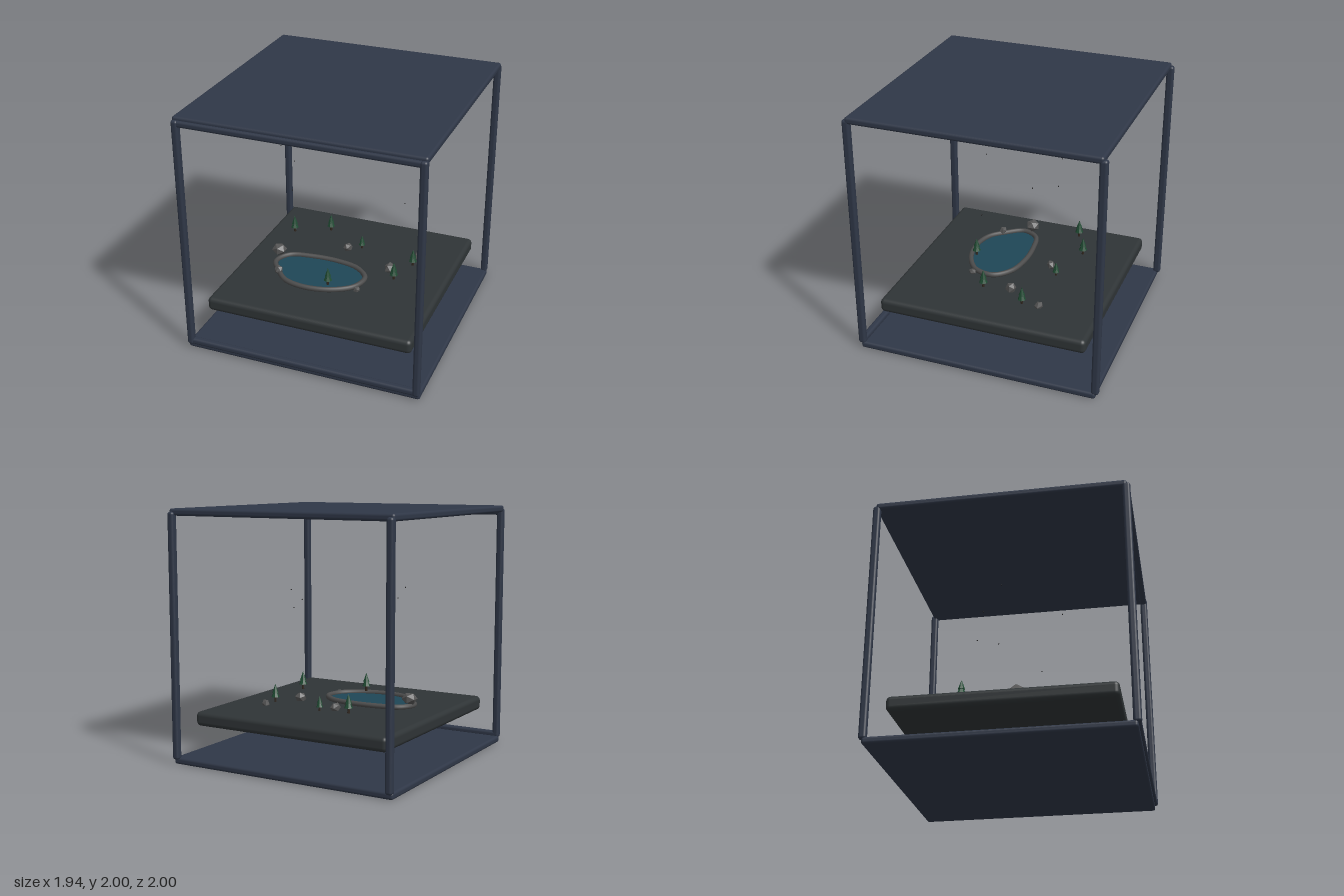
import * as THREE from 'three';
import { RoundedBoxGeometry } from 'three/addons/geometries/RoundedBoxGeometry.js';

const mat = (color, flatShading = false) => new THREE.MeshStandardMaterial({ color, flatShading });

export function createModel() {
  const model = new THREE.Group();
  const frameMat = mat(0x2f3747);
  const groundMat = mat(0x2f3436);
  const rimMat = mat(0x4c4c4c);
  const rockMat = mat(0x555555, true);
  const waterMat = mat(0x1f4656);
  const trunkMat = mat(0x30261e, true);
  const leafMat = mat(0x1f4a32, true);
  const moteMat = mat(0x1c1c1c);

  const add = (parent, name, geometry, material, x = 0, y = 0, z = 0) => {
    const mesh = new THREE.Mesh(geometry, material);
    mesh.name = name;
    mesh.position.set(x, y, z);
    parent.add(mesh);
    return mesh;
  };
  const box = (name, w, h, d, r, material, x, y, z) =>
    add(model, name, new RoundedBoxGeometry(w, h, d, 4, r), material, x, y, z);

  // Case: two plates, four corner posts and two front rails
  box('basePlate', 1.94, 0.055, 1.95, 0.02, frameMat, 0, 0.0275, 0);
  box('topPlate', 1.94, 0.055, 1.95, 0.02, frameMat, 0, 1.9725, 0);
  for (const x of [-0.943, 0.943])
    for (const z of [-0.97, 0.97])
      box('cornerPost', 0.055, 1.935, 0.06, 0.02, frameMat, x, 1.008, z);
  box('frontRailBottom', 1.94, 0.052, 0.055, 0.02, frameMat, 0, 0.066, 0.967);
  box('frontRailTop', 1.94, 0.052, 0.055, 0.02, frameMat, 0, 1.948, 0.967);

  // Floating slab of ground
  box('ground', 1.7, 0.115, 1.7, 0.035, groundMat, 0, 0.352, 0);

  // Pond: a closed outline shared by the stone rim and the water
  const outline = [
    [0.22, 0.14], [0.185, 0.295], [0.02, 0.41], [-0.2, 0.445], [-0.37, 0.4], [-0.47, 0.3],
    [-0.565, 0.15], [-0.5, 0.02], [-0.32, -0.025], [-0.09, -0.03], [0.11, 0.02],
  ];
  const curve = new THREE.CatmullRomCurve3(
    outline.map(([x, z]) => new THREE.Vector3(x, 0, z)), true);
  add(model, 'pondRim', new THREE.TubeGeometry(curve, 96, 0.021, 10, true), rimMat, 0, 0.429, 0);
  const pond = new THREE.Shape(curve.getPoints(80).map((p) => new THREE.Vector2(p.x, -p.z)));
  const water = add(model, 'water', new THREE.ShapeGeometry(pond), waterMat, 0, 0.422, 0);
  water.rotation.x = -Math.PI / 2;

  // Pine trees: x, base y, z, height
  const trees = [
    [-0.61, 0.45, -0.34, 0.152], [-0.32, 0.455, -0.465, 0.15], [-0.01, 0.45, 0.37, 0.152],
    [0.46, 0.462, 0.12, 0.152], [0.51, 0.41, -0.225, 0.148], [0.015, 0.41, -0.34, 0.122],
  ];
  trees.forEach(([x, y, z, h], i) => {
    const tree = new THREE.Group();
    tree.name = 'pineTree';
    add(tree, 'trunk', new THREE.CylinderGeometry(0.05, 0.07, 0.4, 6), trunkMat, 0, 0.2, 0);
    add(tree, 'lowerFoliage', new THREE.ConeGeometry(0.225, 0.5, 7), leafMat, 0, 0.52, 0);
    add(tree, 'upperFoliage', new THREE.ConeGeometry(0.175, 0.5, 7), leafMat, 0, 0.75, 0);
    tree.position.set(x, y, z);
    tree.rotation.y = i * 0.9;
    tree.scale.setScalar(h);
    model.add(tree);
  });

  // Faceted rocks: x, y, z, radius
  const rocks = [
    [-0.57, 0.497, 0.07, 0.06], [-0.47, 0.452, 0.31, 0.037], [-0.085, 0.436, -0.265, 0.041],
    [0.36, 0.432, -0.075, 0.049], [0.51, 0.418, -0.365, 0.038], [0.215, 0.418, 0.315, 0.032],
  ];
  rocks.forEach(([x, y, z, r], i) => {
    const rock = add(model, 'rock', new THREE.IcosahedronGeometry(r, 0), rockMat, x, y, z);
    rock.rotation.set(i * 0.7, i * 1.3, i * 0.4);
    rock.scale.set(1.08, 0.85, 1);
  });

  // Tiny motes hovering in the air
  const motes = [
    [-0.585, 1.395, -0.05], [-0.535, 1.2, -0.2], [-0.295, 1.25, 0.385],
    [0.14, 1.295, -0.39], [0.335, 1.345, -0.245], [0.53, 1.15, 0.095],
  ];
  for (const [x, y, z] of motes)
    add(model, 'mote', new THREE.SphereGeometry(0.005, 8, 6), moteMat, x, y, z);

  return model;
}
